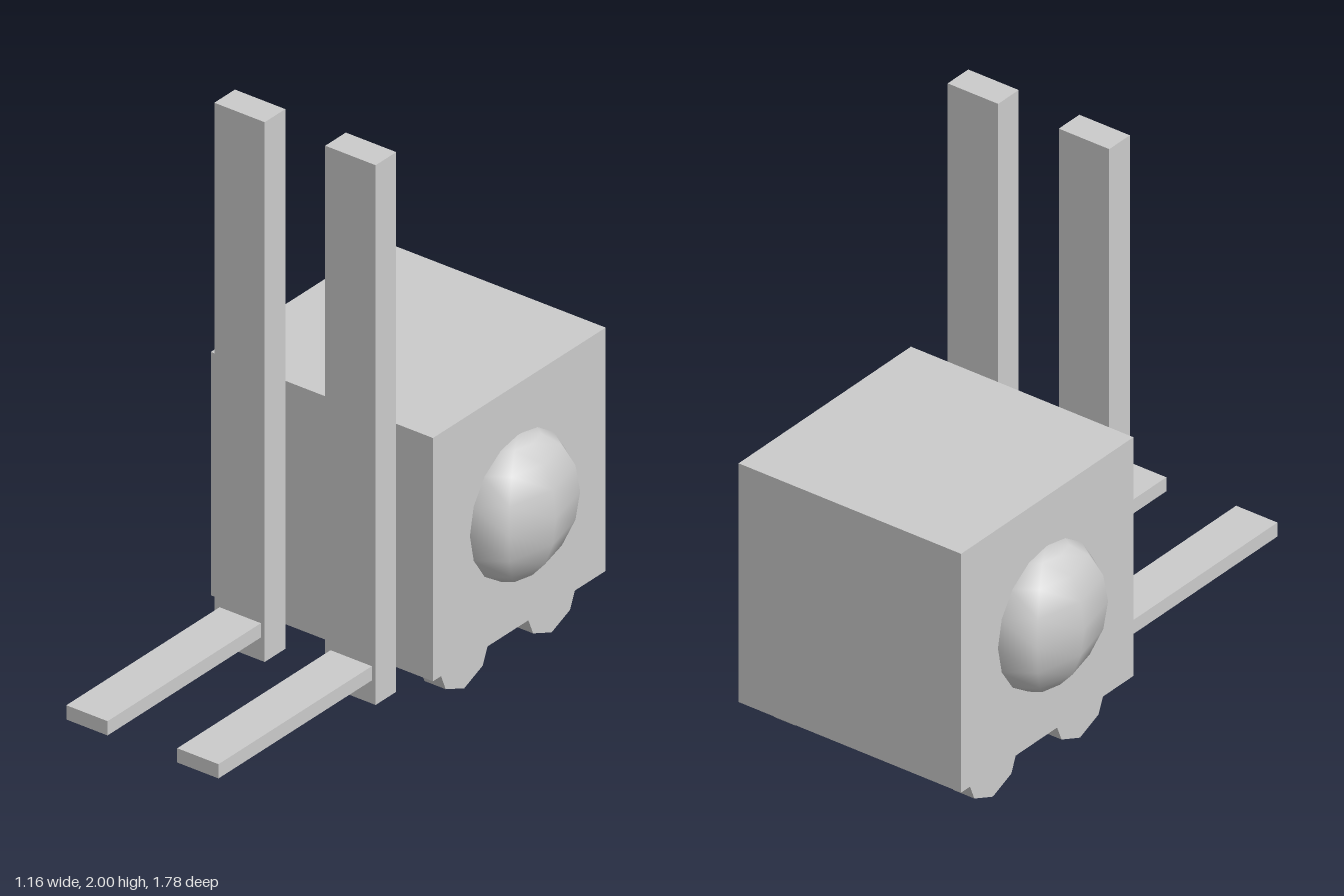
import * as THREE from 'three';

export function createModel() {
  const model = new THREE.Group();
  const smooth = new THREE.MeshStandardMaterial({ color: 0xcccccc });
  const flat = new THREE.MeshStandardMaterial({ color: 0xcccccc, flatShading: true });

  function add(name, geometry, material, x, y, z) {
    const mesh = new THREE.Mesh(geometry, material);
    mesh.name = name;
    mesh.position.set(x, y, z);
    model.add(mesh);
    return mesh;
  }

  // Slight sideways offset shared by all parts
  const cx = -0.003;
  const bodyY = 0.573, bodyZ = -0.454;

  add('body', new THREE.BoxGeometry(0.873, 0.87, 0.872), flat, cx, bodyY, bodyZ);

  const mastGeometry = new THREE.BoxGeometry(0.198, 1.93, 0.104);
  const forkGeometry = new THREE.BoxGeometry(0.162, 0.051, 0.79);
  const domeGeometry = new THREE.SphereGeometry(0.254, 8, 8).scale(0.15 / 0.254, 1, 1);
  const wheelGeometry = new THREE.CylinderGeometry(0.132, 0.132, 0.084, 8).rotateZ(Math.PI / 2);

  for (const [side, s] of [['left', 1], ['right', -1]]) {
    // Upright and its prong
    add(side + 'Mast', mastGeometry, flat, s * 0.218 - 0.006, 1.035, 0.062);
    add(side + 'Fork', forkGeometry, flat, s * 0.218 - 0.003, 0.178, 0.493);

    // Flattened sphere half sunk into the body side
    add(side + 'Dome', domeGeometry, smooth, s * 0.43 + cx, bodyY, bodyZ);

    // Eight-sided wheels under the body
    for (const [end, z] of [['Front', -0.232], ['Rear', -0.673]]) {
      add(side + end + 'Wheel', wheelGeometry, flat, s * 0.351 + cx, 0.133, z);
    }
  }
  return model;
}
